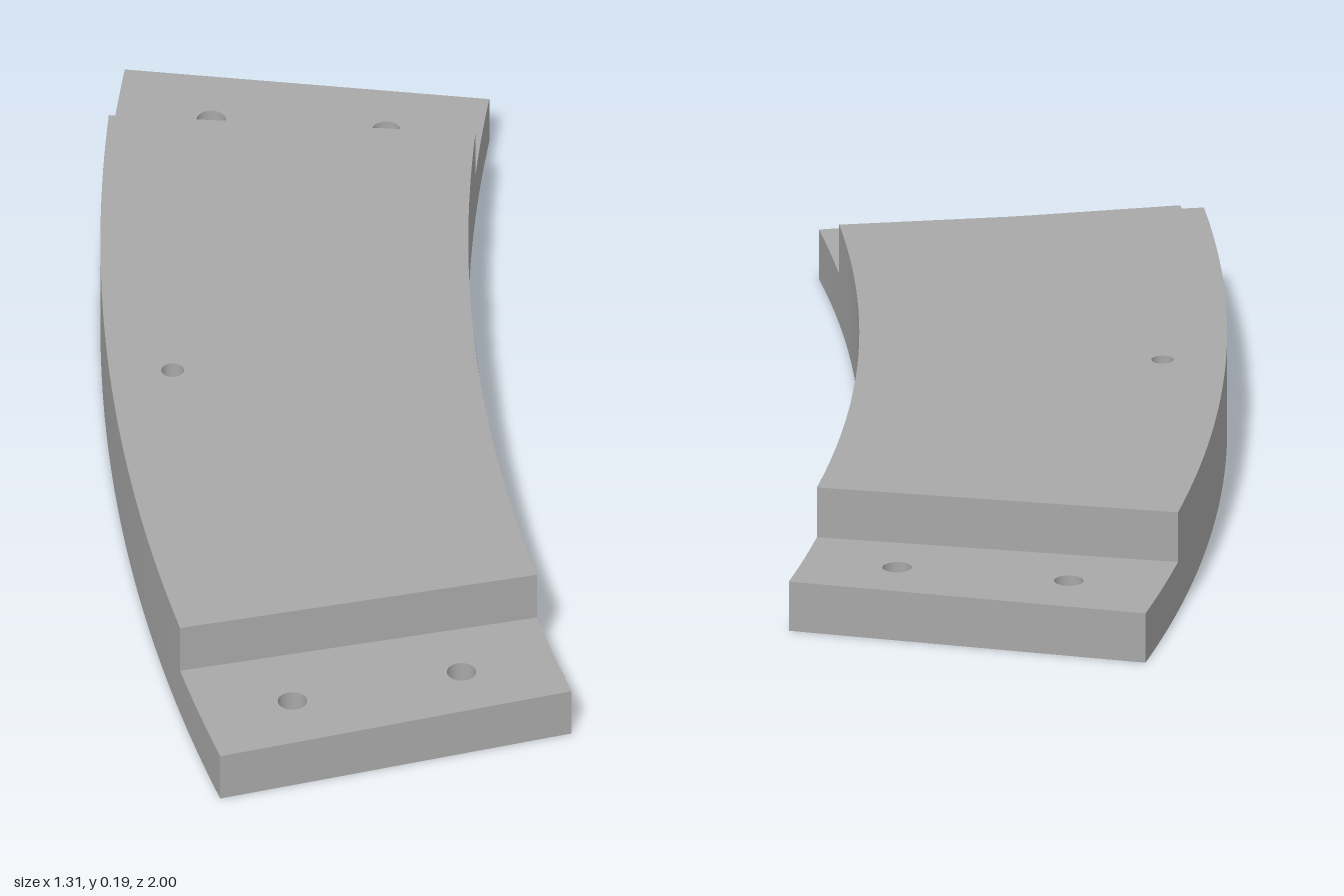
import * as THREE from 'three';

// Curved segment: all angles are measured round the arc centre, in degrees.
const CX = 3.98, CZ = 1.70;          // arc centre
const OUTER = 4.71, INNER = 4.06;    // arc radii
const LOW = 0.093, HIGH = 0.187;     // tongue and body heights
const A0 = 10, A1 = 13.2, A2 = 31.8, A3 = 35, MID = 22.5;
const BORE_Y = 0.095, BORE_R = 0.049, BORE_END = 4.63;
const BOLT_R = 0.026, PORT_R = 0.02;
const rad = THREE.MathUtils.degToRad;

const at = (r, deg) => [CX - r * Math.cos(rad(deg)), CZ - r * Math.sin(rad(deg))];

function circle(x, y, r) {
  return new THREE.Path().absarc(x, y, r, 0, Math.PI * 2, true);
}

// Horizontal annular sector with round holes, facing up or down
function sector(a0, a1, y, holes, up) {
  const s = up ? -1 : 1, n = 32, pts = [];
  for (const [r, from, to] of [[OUTER, a0, a1], [INNER, a1, a0]])
    for (let i = 0; i <= n; i++) {
      const [x, z] = at(r, from + (to - from) * i / n);
      pts.push(new THREE.Vector2(x, s * z));
    }
  const shape = new THREE.Shape(pts);
  for (const [x, z, r] of holes) shape.holes.push(circle(x, s * z, r));
  return new THREE.ShapeGeometry(shape, 16).rotateX(s * Math.PI / 2).translate(0, y, 0);
}

// Wraps a flat panel (x = angle, y = height) round the arc
function bend(geo, radius, a0, a1) {
  const p = geo.attributes.position, nrm = geo.attributes.normal;
  const outside = radius === OUTER;
  for (let i = 0; i < p.count; i++) {
    const a = outside ? a0 + a1 - p.getX(i) : p.getX(i);
    const [x, z] = at(radius, a), d = outside ? -1 : 1;
    p.setXYZ(i, x, p.getY(i), z);
    nrm.setXYZ(i, d * Math.cos(rad(a)), 0, d * Math.sin(rad(a)));
  }
  return geo;
}

function wall(radius, a0, a1, height) {
  const geo = new THREE.PlaneGeometry(a1 - a0, height, Math.ceil((a1 - a0) * 2), 1);
  return bend(geo.translate((a0 + a1) / 2, height / 2, 0), radius, a0, a1);
}

// Upright flat face across the segment
function radialFace(a, y0, y1, forward) {
  const [x, z] = at((OUTER + INNER) / 2, a);
  return new THREE.PlaneGeometry(OUTER - INNER, y1 - y0)
    .rotateY(forward ? Math.PI - rad(a) : -rad(a))
    .translate(x, (y0 + y1) / 2, z);
}

function verticalHole(x, z, r, y0, y1) {
  return new THREE.CylinderGeometry(r, r, y1 - y0, 32, 1, true).translate(x, (y0 + y1) / 2, z);
}

export function createModel() {
  const model = new THREE.Group();
  model.name = 'curvedSegment';
  const grey = new THREE.MeshStandardMaterial({ color: 0xa8a8a8, side: THREE.DoubleSide });
  grey.name = 'plain grey';
  const add = (name, geo) => {
    const mesh = new THREE.Mesh(geo, grey);
    mesh.name = name;
    model.add(mesh);
  };

  const backBolts = [[0.19, -0.80, BOLT_R], [0.45, -0.63, BOLT_R]];
  const frontBolts = [[-0.47, 0.795, BOLT_R], [-0.165, 0.855, BOLT_R]];
  const port = [...at(4.598, MID), PORT_R];

  // Horizontal faces
  add('underside', sector(A0, A3, 0, [...backBolts, ...frontBolts], false));
  add('bodyTop', sector(A1, A2, HIGH, [port], true));
  add('frontLedge', sector(A0, A1, LOW, frontBolts, true));
  add('backLedge', sector(A2, A3, LOW, backBolts, true));

  // End and step faces
  add('frontEnd', radialFace(A0, 0, LOW, false));
  add('frontStep', radialFace(A1, LOW, HIGH, false));
  add('backStep', radialFace(A2, LOW, HIGH, true));
  add('backEnd', radialFace(A3, 0, LOW, true));

  // Curved walls; the inner one leaves room for the bored panel
  const half = 1;
  for (const [side, r] of [['outer', OUTER], ['inner', INNER]]) {
    add(side + 'FrontTongueWall', wall(r, A0, A1, LOW));
    add(side + 'BackTongueWall', wall(r, A2, A3, LOW));
  }
  add('outerBodyWall', wall(OUTER, A1, A2, HIGH));
  add('innerBodyWallFront', wall(INNER, A1, MID - half, HIGH));
  add('innerBodyWallBack', wall(INNER, MID + half, A2, HIGH));

  // Inner panel with the bore mouth
  const panel = new THREE.Shape([[-half, 0], [half, 0], [half, HIGH], [-half, HIGH]]
    .map(([x, y]) => new THREE.Vector2(MID + x, y)));
  panel.holes.push(new THREE.Path().absellipse(
    MID, BORE_Y, THREE.MathUtils.radToDeg(BORE_R / INNER), BORE_R, 0, Math.PI * 2, true));
  add('borePanel', bend(new THREE.ShapeGeometry(panel, 24), INNER, MID - half, MID + half));

  // Blind bore and its floor
  const depth = BORE_END - INNER;
  const [bx, bz] = at((INNER + BORE_END) / 2, MID);
  add('bore', new THREE.CylinderGeometry(BORE_R, BORE_R, depth, 48, 1, true)
    .rotateZ(Math.PI / 2).rotateY(-rad(MID)).translate(bx, BORE_Y, bz));
  const [ex, ez] = at(BORE_END, MID);
  add('boreFloor', new THREE.CircleGeometry(BORE_R, 48)
    .rotateY(Math.PI / 2 - rad(MID)).translate(ex, BORE_Y, ez));

  // Bolt holes and the small port leading down to the bore
  for (const [x, z, r] of [...backBolts, ...frontBolts])
    add('boltHole', verticalHole(x, z, r, 0, LOW));
  add('port', verticalHole(port[0], port[1], PORT_R, BORE_Y + BORE_R * 0.92, HIGH));

  return model;
}
